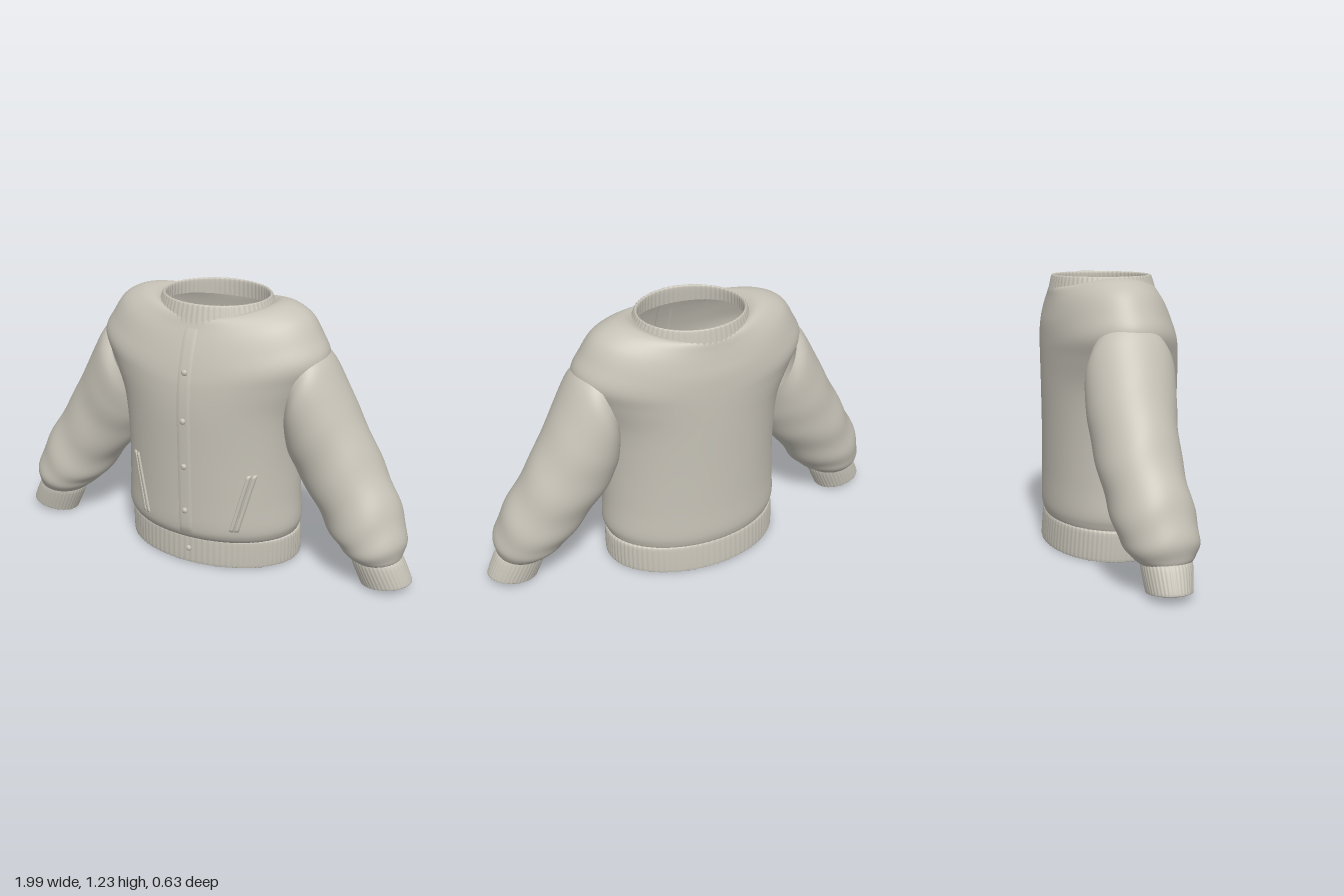
import * as THREE from 'three';

const cloth = new THREE.MeshStandardMaterial({ color: 0xc6c2b7, side: THREE.DoubleSide });
cloth.name = 'warm grey cloth';

// Smooth interpolation through a list of section rows, t in 0..1
function rowAt(rows, t) {
  const f = t * (rows.length - 1);
  const k = Math.min(Math.floor(f), rows.length - 2);
  const at = (j) => rows[Math.max(0, Math.min(rows.length - 1, j))];
  const u = f - k;
  return rows[k].map((b, c) => {
    const a = at(k - 1)[c], d = at(k + 1)[c], e = at(k + 2)[c];
    return b + 0.5 * u * (d - a + u * (2 * a - 5 * b + 4 * d - e + u * (3 * (b - d) + e - a)));
  });
}

// Surface from a grid of points; wrap joins the last column to the first
function gridMesh(name, nu, nv, wrap, point) {
  const pos = [], index = [];
  const cols = wrap ? nu : nu + 1;
  for (let j = 0; j <= nv; j++) {
    for (let i = 0; i < cols; i++) pos.push(...point(i / nu, j / nv));
  }
  for (let j = 0; j < nv; j++) {
    for (let i = 0; i < nu; i++) {
      const n = (i + 1) % cols;
      const a = j * cols + i, b = j * cols + n, c = a + cols, d = b + cols - 0;
      index.push(a, c, b, b, c, d);
    }
  }
  const g = new THREE.BufferGeometry();
  g.setAttribute('position', new THREE.Float32BufferAttribute(pos, 3));
  g.setIndex(index);
  g.computeVertexNormals();
  const mesh = new THREE.Mesh(g, cloth);
  mesh.name = name;
  return mesh;
}

// Torso section: [y at front, y at side, half width, z front, z back]
function torsoPoint([yF, yS, hx, zF, zB], a, swell = 1) {
  const c = Math.cos(a), s = Math.sin(a);
  const mid = (zF + zB) / 2, half = (zF - zB) / 2;
  return [hx * c * swell, yF + (yS - yF) * c * c, mid + half * s * swell];
}

// Sleeve section: [outer x, outer y, inner x, inner y, z front, z back]
function sleevePoint([ox, oy, ix, iy, zF, zB], a, swell = 1) {
  const c = Math.cos(a) * swell, s = Math.sin(a) * swell;
  return [
    (ox + ix) / 2 + ((ox - ix) / 2) * c,
    (oy + iy) / 2 + ((oy - iy) / 2) * c,
    (zF + zB) / 2 + ((zF - zB) / 2) * s,
  ];
}

const BODY = [
  [0.13, 0.13, 0.405, 0.255, -0.285],
  [0.16, 0.16, 0.42, 0.28, -0.297],
  [0.21, 0.21, 0.43, 0.292, -0.303],
  [0.34, 0.34, 0.422, 0.295, -0.3],
  [0.55, 0.55, 0.42, 0.3, -0.3],
  [0.75, 0.75, 0.44, 0.305, -0.302],
  [0.88, 0.9, 0.5, 0.298, -0.302],
  [0.95, 1.01, 0.545, 0.285, -0.3],
  [1.02, 1.1, 0.505, 0.265, -0.295],
  [1.08, 1.18, 0.45, 0.243, -0.283],
  [1.13, 1.222, 0.37, 0.222, -0.272],
  [1.165, 1.225, 0.3, 0.208, -0.265],
  [1.18, 1.2, 0.25, 0.195, -0.255],
];

const HEM = [
  [0.14, 0.14, 0.4, 0.243, -0.283],
  [0.02, 0.02, 0.4, 0.243, -0.283],
  [0.006, 0.006, 0.405, 0.249, -0.29],
  [0.006, 0.006, 0.416, 0.258, -0.3],
  [0.02, 0.02, 0.422, 0.263, -0.304],
  [0.12, 0.12, 0.422, 0.263, -0.296],
  [0.14, 0.14, 0.416, 0.26, -0.29],
  [0.145, 0.145, 0.405, 0.25, -0.283],
];

const COLLAR = [
  [1.15, 1.17, 0.24, 0.183, -0.24],
  [1.215, 1.215, 0.237, 0.178, -0.24],
  [1.228, 1.228, 0.24, 0.182, -0.244],
  [1.228, 1.228, 0.246, 0.19, -0.25],
  [1.215, 1.215, 0.252, 0.196, -0.255],
  [1.15, 1.18, 0.268, 0.215, -0.268],
];

const SLEEVE = [
  [0.5, 1.06, 0.37, 0.72, 0.15, -0.18],
  [0.56, 1.0, 0.37, 0.66, 0.178, -0.205],
  [0.655, 0.83, 0.38, 0.57, 0.172, -0.208],
  [0.75, 0.655, 0.43, 0.465, 0.16, -0.198],
  [0.84, 0.5, 0.525, 0.335, 0.165, -0.178],
  [0.915, 0.36, 0.6, 0.23, 0.182, -0.155],
  [0.952, 0.24, 0.655, 0.182, 0.187, -0.13],
  [0.945, 0.165, 0.7, 0.145, 0.165, -0.09],
  [0.925, 0.13, 0.73, 0.125, 0.135, -0.055],
];

const CUFF = [
  [0.92, 0.15, 0.74, 0.14, 0.13, -0.045],
  [0.965, 0.055, 0.795, 0.03, 0.12, -0.03],
  [0.978, 0.04, 0.782, 0.014, 0.126, -0.038],
  [0.99, 0.042, 0.768, 0.01, 0.134, -0.046],
  [0.993, 0.055, 0.762, 0.02, 0.138, -0.05],
  [0.955, 0.135, 0.718, 0.12, 0.148, -0.06],
  [0.935, 0.155, 0.725, 0.145, 0.14, -0.055],
];

// Knitted band: a section loft with fine vertical ribs
function ribbedBand(name, rows, pointFn, ribs, depth) {
  return gridMesh(name, ribs * 4, 21, true, (u, v) => {
    const a = u * Math.PI * 2;
    return pointFn(rowAt(rows, v), a, 1 + depth * Math.cos(a * ribs));
  });
}

// Height of the torso front above a point (x, y)
const bodySamples = Array.from({ length: 401 }, (_, i) => rowAt(BODY, i / 400));
function frontZ(x, y) {
  const r = bodySamples.find((row) => row[0] >= y) || bodySamples[400];
  const s = Math.sqrt(Math.max(0, 1 - (x / r[2]) ** 2));
  return (r[3] + r[4]) / 2 + ((r[3] - r[4]) / 2) * s;
}

// Raised strip lying on the torso front, from top to bottom
function frontStrip(name, top, bottom, width, lift) {
  return gridMesh(name, 6, 30, false, (u, v) => {
    const x = top[0] + (bottom[0] - top[0]) * v + (u - 0.5) * width;
    const y = top[1] + (bottom[1] - top[1]) * v;
    const edge = u === 0 || u === 1 || v === 0 || v === 1;
    return [x, y, frontZ(x, y) + (edge ? -0.004 : lift)];
  });
}

export function createModel() {
  const jacket = new THREE.Group();
  jacket.name = 'jacket';

  // Torso with soft folds in the lower half
  jacket.add(gridMesh('torso', 96, 72, true, (u, v) => {
    const a = u * Math.PI * 2;
    const fade = Math.sin(Math.PI * Math.min(1, v * 1.3)) ** 2;
    const fold = 0.006 * fade * Math.sin(a * 7 + v * 9) * Math.cos(a) ** 2;
    return torsoPoint(rowAt(BODY, v), a, 1 + fold);
  }));
  jacket.add(ribbedBand('hemBand', HEM, torsoPoint, 90, 0.005));
  jacket.add(ribbedBand('collarBand', COLLAR, torsoPoint, 64, 0.008));

  // Button placket and buttons
  jacket.add(frontStrip('placket', [0, 1.15], [0, 0.14], 0.08, 0.003));
  const buttonShape = new THREE.SphereGeometry(0.014, 16, 10);
  buttonShape.scale(1, 1, 0.7);
  for (const y of [0.95, 0.73, 0.51, 0.29, 0.08]) {
    const button = new THREE.Mesh(buttonShape, cloth);
    button.name = 'button';
    button.position.set(0, y, y < 0.14 ? 0.266 : frontZ(0, y) + 0.005);
    jacket.add(button);
  }

  for (const side of [1, -1]) {
    const label = side > 0 ? 'left' : 'right';

    // Sleeve with creases gathering at the elbow and above the cuff
    const flip = (p) => [p[0] * side, p[1], p[2]];
    jacket.add(gridMesh(label + 'Sleeve', 64, 72, true, (u, v) => {
      const a = u * Math.PI * 2;
      const fade = Math.sin(Math.PI * Math.max(0, v - 0.2) / 0.8);
      const fold = 0.02 * fade * Math.sin(v * 34 + 1.5 * Math.sin(a * 2 + 0.6));
      return flip(sleevePoint(rowAt(SLEEVE, v), a, 1 + fold));
    }));
    jacket.add(ribbedBand(label + 'Cuff', CUFF, (r, a, s) => flip(sleevePoint(r, a, s)), 40, 0.012));

    // Slanted pocket: two parallel welts
    for (const shift of [-0.011, 0.011]) {
      jacket.add(frontStrip(label + 'PocketWelt',
        [side * 0.295 + shift, 0.495], [side * 0.222 + shift, 0.205], 0.022, 0.009));
    }
  }
  return jacket;
}
